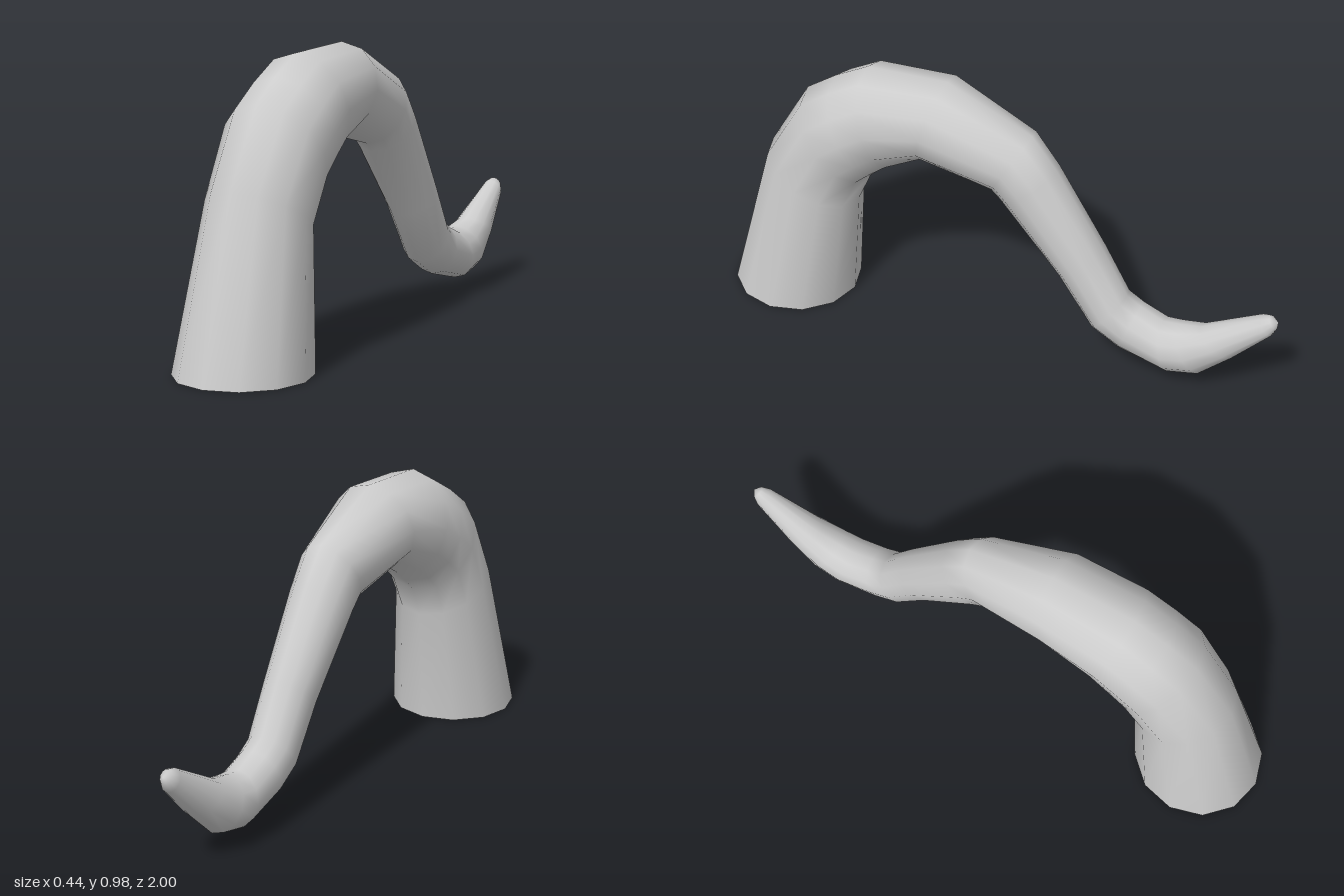
import * as THREE from 'three';

const SIDES = 12;

// Each section: outer z, outer y, inner z, inner y, half width in x
const SECTIONS = [
  [1.0, 0.0, 0.55, 0.0, 0.22],
  [0.84, 0.57, 0.515, 0.41, 0.168],
  [0.69, 0.82, 0.465, 0.52, 0.175],
  [0.58, 0.895, 0.415, 0.565, 0.172],
  [0.46, 0.96, 0.36, 0.61, 0.167],
  [0.17, 0.975, 0.245, 0.68, 0.155],
  [-0.13, 0.845, 0.0, 0.62, 0.11],
  [-0.22, 0.73, -0.03, 0.59, 0.105],
  [-0.39, 0.46, -0.24, 0.34, 0.09],
  [-0.48, 0.3, -0.365, 0.155, 0.086],
  [-0.53, 0.27, -0.47, 0.095, 0.086],
  [-0.61, 0.235, -0.65, 0.05, 0.087],
  [-0.66, 0.24, -0.76, 0.075, 0.082],
  [-0.74, 0.255, -0.87, 0.18, 0.066],
  [-0.94, 0.37, -0.985, 0.305, 0.035],
  [-0.97, 0.377, -0.998, 0.335, 0.022],
];

// Elliptical ring spanning the outer and inner points of a section
function ringPoints([oz, oy, iz, iy, w]) {
  const points = [];
  for (let j = 0; j < SIDES; j++) {
    const t = (j / SIDES) * Math.PI * 2;
    const c = Math.cos(t) / 2;
    points.push(w * Math.sin(t), (oy + iy) / 2 + c * (oy - iy), (oz + iz) / 2 + c * (oz - iz));
  }
  return points;
}

function makeGeometry(positions, index) {
  const geometry = new THREE.BufferGeometry();
  geometry.setAttribute('position', new THREE.Float32BufferAttribute(positions, 3));
  geometry.setIndex(index);
  geometry.computeVertexNormals();
  return geometry;
}

// Curved body, closed by a point at the tip
function tentacleGeometry() {
  const positions = SECTIONS.flatMap(ringPoints);
  const index = [];
  const last = SECTIONS.length - 1;
  const tip = SECTIONS.length * SIDES;
  positions.push(0, 0.36, -1);
  for (let i = 0; i <= last; i++) {
    for (let j = 0; j < SIDES; j++) {
      const a = i * SIDES + j;
      const b = i * SIDES + ((j + 1) % SIDES);
      if (i === last) index.push(a, b, tip);
      else index.push(a, b, b + SIDES, a, b + SIDES, a + SIDES);
    }
  }
  return makeGeometry(positions, index);
}

// Flat underside, facing down
function baseGeometry() {
  const index = [];
  for (let j = 1; j < SIDES - 1; j++) index.push(0, j + 1, j);
  return makeGeometry(ringPoints(SECTIONS[0]), index);
}

export function createModel() {
  const group = new THREE.Group();
  group.name = 'tentacle';
  const material = new THREE.MeshStandardMaterial({ color: 0xcccccc });
  const body = new THREE.Mesh(tentacleGeometry(), material);
  body.name = 'tentacleBody';
  const base = new THREE.Mesh(baseGeometry(), material);
  base.name = 'baseCap';
  group.add(body, base);
  return group;
}
